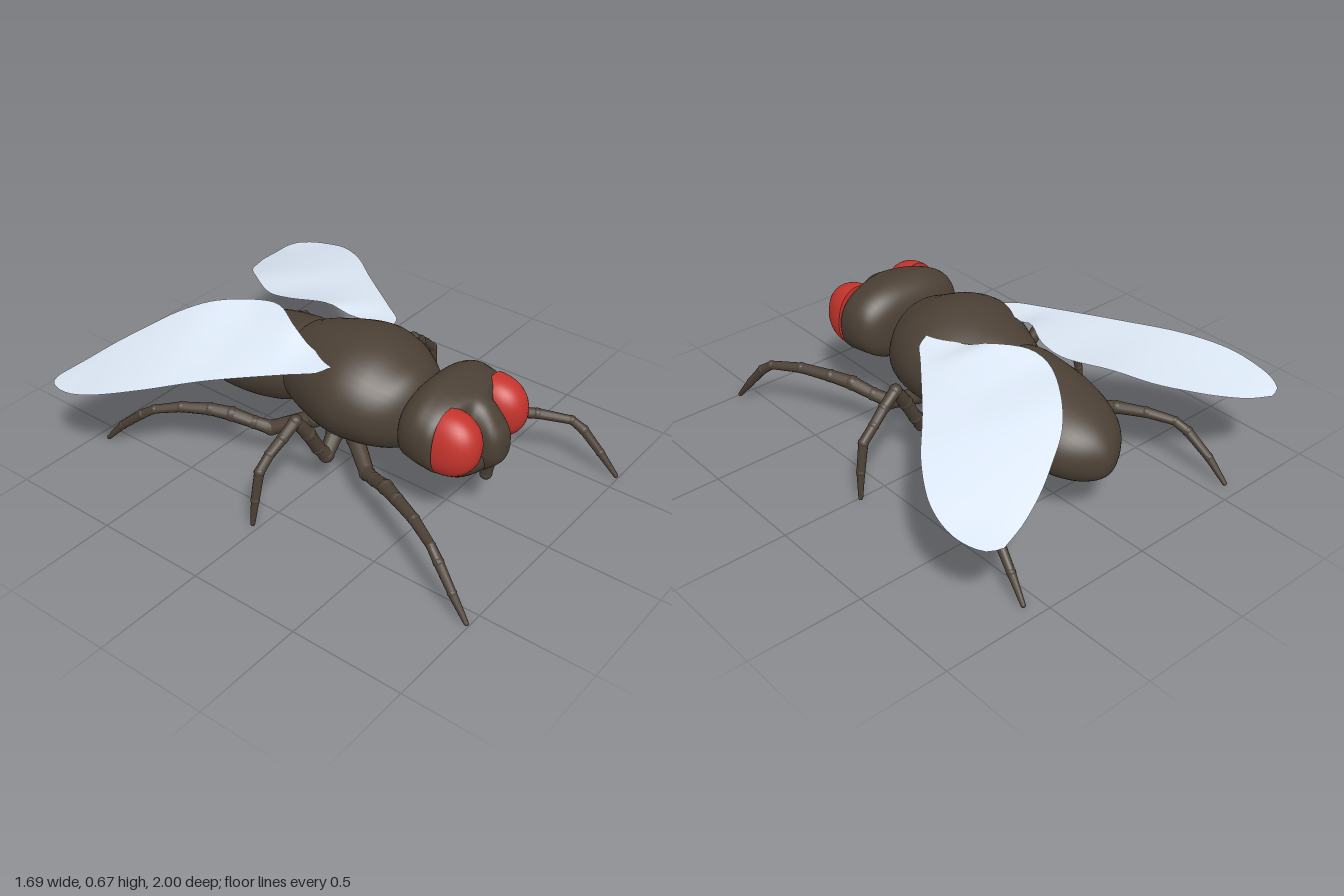
import * as THREE from 'three';

const V = (p) => new THREE.Vector3(...p);
const bodyMat = new THREE.MeshStandardMaterial({ color: 0x4b4035 });
const eyeMat = new THREE.MeshStandardMaterial({ color: 0xc4342c });
const wingMat = new THREE.MeshStandardMaterial({ color: 0xdde8f6, side: THREE.DoubleSide });

function named(geometry, material, name) {
  const mesh = new THREE.Mesh(geometry, material);
  mesh.name = name;
  return mesh;
}

// Signed power, for squarer ellipses
const sp = (v, p) => Math.sign(v) * Math.abs(v) ** p;

// Grid of points into an indexed smooth surface; wrap closes each row
function gridGeometry(rows, wrap) {
  const n = rows[0].length, index = [];
  for (let i = 0; i < rows.length - 1; i++) {
    for (let j = 0; j < (wrap ? n : n - 1); j++) {
      const a = i * n + j, b = i * n + ((j + 1) % n);
      index.push(a, a + n, b, b, a + n, b + n);
    }
  }
  const g = new THREE.BufferGeometry();
  g.setAttribute('position', new THREE.Float32BufferAttribute(rows.flat(2), 3));
  g.setIndex(index);
  g.computeVertexNormals();
  return g;
}

// Body loft: sections of [z, half width, bottom, top], from front to back
function loft(sections, power = 1, steps = 48, sides = 40) {
  const plan = new THREE.CatmullRomCurve3(sections.map((s) => V([s[0], s[1], 0])), false, 'catmullrom');
  const side = new THREE.CatmullRomCurve3(sections.map((s) => V([s[2], s[3], 0])), false, 'catmullrom');
  const rows = [];
  for (let i = 0; i <= steps; i++) {
    const p = plan.getPoint(i / steps), q = side.getPoint(i / steps);
    const w = Math.max(p.y, 0.001), mid = (q.x + q.y) / 2, h = Math.max((q.y - q.x) / 2, 0.001);
    const row = [];
    for (let j = 0; j < sides; j++) {
      const a = (j / sides) * Math.PI * 2;
      row.push([w * sp(Math.cos(a), power), mid + h * sp(Math.sin(a), power), p.x]);
    }
    rows.push(row);
  }
  return gridGeometry(rows, true);
}

// Jointed leg: tapered segments with a knob at each joint; joints of [x, y, z, radius]
function leg(joints, s, name) {
  const g = new THREE.Group();
  g.name = name;
  const pts = joints.map(([x, y, z]) => new THREE.Vector3(x * s, y, z));
  joints.forEach((joint, i) => {
    const r = joint[3], last = i === joints.length - 1;
    const knob = named(new THREE.SphereGeometry(last ? r : r * 1.1, 12, 8), bodyMat, 'joint');
    knob.position.copy(pts[i]);
    g.add(knob);
    if (last) return;
    const dir = pts[i + 1].clone().sub(pts[i]);
    const seg = named(new THREE.CylinderGeometry(joints[i + 1][3], r, dir.length(), 12, 1), bodyMat, 'segment');
    seg.position.copy(pts[i]).addScaledVector(dir, 0.5);
    seg.quaternion.setFromUnitVectors(new THREE.Vector3(0, 1, 0), dir.normalize());
    g.add(seg);
  });
  return g;
}

// Wing: thin surface between the outer and the inner edge, gently waved
function wing(s) {
  const outer = new THREE.CatmullRomCurve3([
    [0.215, 0.597, 0.055], [0.27, 0.588, 0.03], [0.34, 0.58, -0.06], [0.55, 0.548, -0.33], [0.72, 0.51, -0.53],
    [0.82, 0.47, -0.7], [0.845, 0.44, -0.82], [0.835, 0.425, -0.91], [0.795, 0.415, -0.98], [0.735, 0.412, -1],
  ].map(V));
  const inner = new THREE.CatmullRomCurve3([
    [0.2, 0.6, 0.045], [0.145, 0.607, -0.12], [0.115, 0.645, -0.22], [0.035, 0.655, -0.37], [0.035, 0.64, -0.48],
    [0.14, 0.618, -0.66], [0.25, 0.568, -0.78], [0.37, 0.52, -0.855], [0.48, 0.48, -0.915], [0.62, 0.435, -0.97],
    [0.735, 0.412, -1],
  ].map(V));
  const rows = [];
  for (let i = 0; i <= 40; i++) {
    const t = i / 40, a = outer.getPointAt(t), b = inner.getPointAt(t), row = [];
    for (let j = 0; j <= 12; j++) {
      const u = j / 12, p = a.clone().lerp(b, u);
      p.y -= 0.008 * Math.sin(u * Math.PI) * Math.sin(t * Math.PI);
      row.push([p.x * s, p.y, p.z]);
    }
    rows.push(row);
  }
  return gridGeometry(rows, false);
}

// Eye: rounded, slightly squared half dome
function eyeGeometry() {
  const g = new THREE.SphereGeometry(1, 32, 24);
  const pos = g.attributes.position, e = 2.25;
  for (let i = 0; i < pos.count; i++) {
    const v = new THREE.Vector3().fromBufferAttribute(pos, i);
    const k = (Math.abs(v.x) ** e + Math.abs(v.y) ** e + Math.abs(v.z) ** e) ** (-1 / e);
    pos.setXYZ(i, v.x * k * 0.103, v.y * k * 0.14, Math.max(v.z, 0) * k * 0.155);
  }
  g.computeVertexNormals();
  return g;
}

export function createModel() {
  const model = new THREE.Group();
  model.name = 'fly';

  // Head with a narrow face between the eyes, thorax and abdomen
  model.add(named(loft([
    [0.77, 0.0, 0.4, 0.4], [0.762, 0.045, 0.335, 0.455], [0.735, 0.07, 0.3, 0.5], [0.69, 0.08, 0.262, 0.555],
    [0.645, 0.105, 0.25, 0.585], [0.615, 0.215, 0.25, 0.6], [0.585, 0.268, 0.255, 0.61], [0.54, 0.28, 0.265, 0.623],
    [0.48, 0.278, 0.275, 0.63], [0.42, 0.25, 0.285, 0.6], [0.385, 0.17, 0.33, 0.54], [0.375, 0.0, 0.435, 0.435],
  ], 0.84, 66), bodyMat, 'head'));
  model.add(named(loft([
    [0.395, 0.0, 0.4, 0.4], [0.385, 0.1, 0.28, 0.51], [0.34, 0.18, 0.235, 0.575], [0.27, 0.245, 0.215, 0.61],
    [0.18, 0.285, 0.205, 0.652], [0.08, 0.3, 0.2, 0.67], [-0.02, 0.275, 0.2, 0.662], [-0.12, 0.235, 0.21, 0.638],
    [-0.2, 0.2, 0.23, 0.61], [-0.25, 0.16, 0.27, 0.57], [-0.27, 0.0, 0.4, 0.4],
  ]), bodyMat, 'thorax'));
  model.add(named(loft([
    [-0.17, 0.0, 0.4, 0.4], [-0.19, 0.15, 0.28, 0.55], [-0.25, 0.205, 0.23, 0.588], [-0.35, 0.23, 0.205, 0.575],
    [-0.47, 0.235, 0.192, 0.55], [-0.58, 0.22, 0.188, 0.515], [-0.68, 0.18, 0.195, 0.475], [-0.75, 0.118, 0.215, 0.43],
    [-0.795, 0.05, 0.255, 0.375], [-0.81, 0.0, 0.318, 0.318],
  ]), bodyMat, 'abdomen'));

  // Cheeks below the eyes
  const cheeks = named(new THREE.SphereGeometry(1, 32, 20), bodyMat, 'cheeks');
  cheeks.scale.set(0.205, 0.09, 0.105);
  cheeks.position.set(0, 0.335, 0.615);
  model.add(cheeks);

  // Neck
  const neck = named(new THREE.CylinderGeometry(0.1, 0.1, 0.1, 24), bodyMat, 'neck');
  neck.rotation.x = Math.PI / 2;
  neck.position.set(0, 0.41, 0.385);
  model.add(neck);

  // Mouthparts
  const proboscis = named(new THREE.CylinderGeometry(0.036, 0.022, 0.07, 16), bodyMat, 'proboscis');
  proboscis.position.set(0, 0.25, 0.685);
  const mouthTip = named(new THREE.SphereGeometry(0.027, 16, 10), bodyMat, 'mouthTip');
  mouthTip.position.set(0, 0.23, 0.685);
  model.add(proboscis, mouthTip);

  // Leg joints, hip to foot
  const legs = {
    Front: [[0.16, 0.25, 0.14, 0.038], [0.25, 0.185, 0.27, 0.032], [0.29, 0.208, 0.34, 0.028], [0.335, 0.24, 0.43, 0.031],
      [0.385, 0.255, 0.52, 0.027], [0.45, 0.262, 0.65, 0.023], [0.52, 0.245, 0.78, 0.019], [0.54, 0.205, 0.83, 0.021],
      [0.56, 0.11, 0.91, 0.018], [0.575, 0.012, 0.99, 0.01]],
    Middle: [[0.17, 0.24, 0.04, 0.038], [0.25, 0.18, 0.055, 0.032], [0.29, 0.235, 0.045, 0.028], [0.345, 0.335, 0.04, 0.03],
      [0.405, 0.425, 0.025, 0.026], [0.475, 0.375, 0.015, 0.023], [0.54, 0.325, 0.0, 0.021], [0.6, 0.27, -0.005, 0.021],
      [0.625, 0.14, -0.012, 0.018], [0.638, 0.02, -0.02, 0.01]],
    Hind: [[0.16, 0.26, -0.08, 0.038], [0.25, 0.185, -0.25, 0.032], [0.29, 0.21, -0.31, 0.028], [0.335, 0.24, -0.4, 0.031],
      [0.38, 0.255, -0.48, 0.027], [0.445, 0.255, -0.59, 0.023], [0.51, 0.235, -0.69, 0.019], [0.535, 0.2, -0.745, 0.021],
      [0.56, 0.11, -0.85, 0.018], [0.575, 0.014, -0.935, 0.01]],
  };

  // Mirrored parts
  for (const [s, side] of [[1, 'left'], [-1, 'right']]) {
    const eye = named(eyeGeometry(), eyeMat, `${side}Eye`);
    eye.position.set(0.168 * s, 0.45, 0.595);
    eye.rotation.z = 0.12 * s;
    model.add(eye);
    model.add(named(wing(s), wingMat, `${side}Wing`));
    for (const [key, joints] of Object.entries(legs)) model.add(leg(joints, s, `${side}${key}Leg`));
  }
  return model;
}
